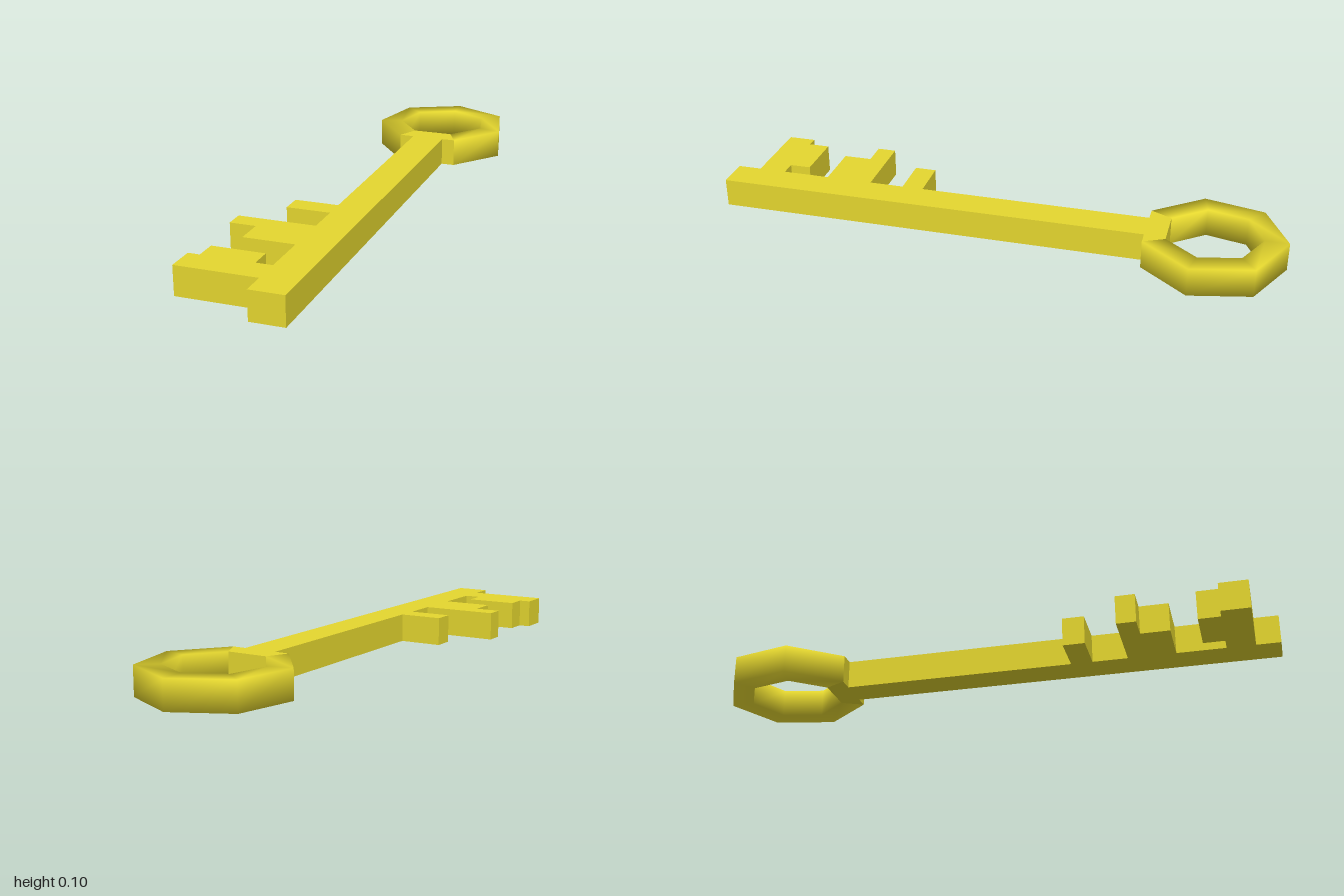
import * as THREE from 'three';

const HEIGHT = 0.1;
const SIDES = 7;
const CENTER = { x: 0.044, z: -0.75 };
const OUTER = 0.25, INNER = 0.168;

// Point of the heptagon in plan, step 0 at the back
function ringPoint(radius, step) {
  const a = (step * Math.PI * 2) / SIDES;
  return [CENTER.x + Math.sin(a) * radius, CENTER.z - Math.cos(a) * radius];
}

// Flat plate from a plan outline of [x, z] points
function plate(outline) {
  const shape = new THREE.Shape(outline.map(([x, z]) => new THREE.Vector2(x, -z)));
  const geometry = new THREE.ExtrudeGeometry(shape, { depth: HEIGHT, bevelEnabled: false });
  return geometry.rotateX(-Math.PI / 2);
}

// Six softly shaded segments of the bow, with a rectangular section
function bowGeometry() {
  const positions = [], index = [];
  const section = [[OUTER, 0], [OUTER, HEIGHT], [INNER, HEIGHT], [INNER, 0]];
  for (let step = -3; step <= 3; step++) {
    for (const [radius, y] of section) {
      const [x, z] = ringPoint(radius, step);
      positions.push(x, y, z);
    }
  }
  for (let s = 0; s < SIDES - 1; s++) {
    for (let c = 0; c < 4; c++) {
      const a = s * 4 + c, b = s * 4 + ((c + 1) % 4);
      index.push(a, b, a + 4, b, b + 4, a + 4);
    }
  }
  const geometry = new THREE.BufferGeometry();
  geometry.setAttribute('position', new THREE.Float32BufferAttribute(positions, 3));
  geometry.setIndex(index);
  geometry.computeVertexNormals();
  return geometry;
}

export function createModel() {
  const group = new THREE.Group();
  group.name = 'key';
  const material = new THREE.MeshStandardMaterial({ color: 0xe5d72f });

  const add = (name, geometry) => {
    const mesh = new THREE.Mesh(geometry, material);
    mesh.name = name;
    group.add(mesh);
  };

  add('bow', bowGeometry());

  // Shaft with its teeth and the straight bow segment it grows from
  const left = -0.012, right = 0.105;
  const collarZ = ringPoint(OUTER, 3)[1];
  add('shaftAndTeeth', plate([
    ringPoint(INNER, 3), ringPoint(INNER, -3), ringPoint(OUTER, -3),
    [left, collarZ],
    // short tooth
    [left, 0.29], [-0.165, 0.29], [-0.165, 0.365], [left, 0.365],
    // stepped tooth
    [left, 0.487], [-0.281, 0.487], [-0.281, 0.553], [-0.19, 0.553], [-0.19, 0.652], [left, 0.652],
    // end tooth
    [left, 0.82], [-0.068, 0.82], [-0.068, 0.746], [-0.25, 0.746],
    [-0.25, 0.82], [-0.29, 0.82], [-0.29, 0.917], [left, 0.917],
    // tip
    [left, 1], [right, 1], [right, collarZ],
    ringPoint(OUTER, 3),
  ]));

  return group;
}
